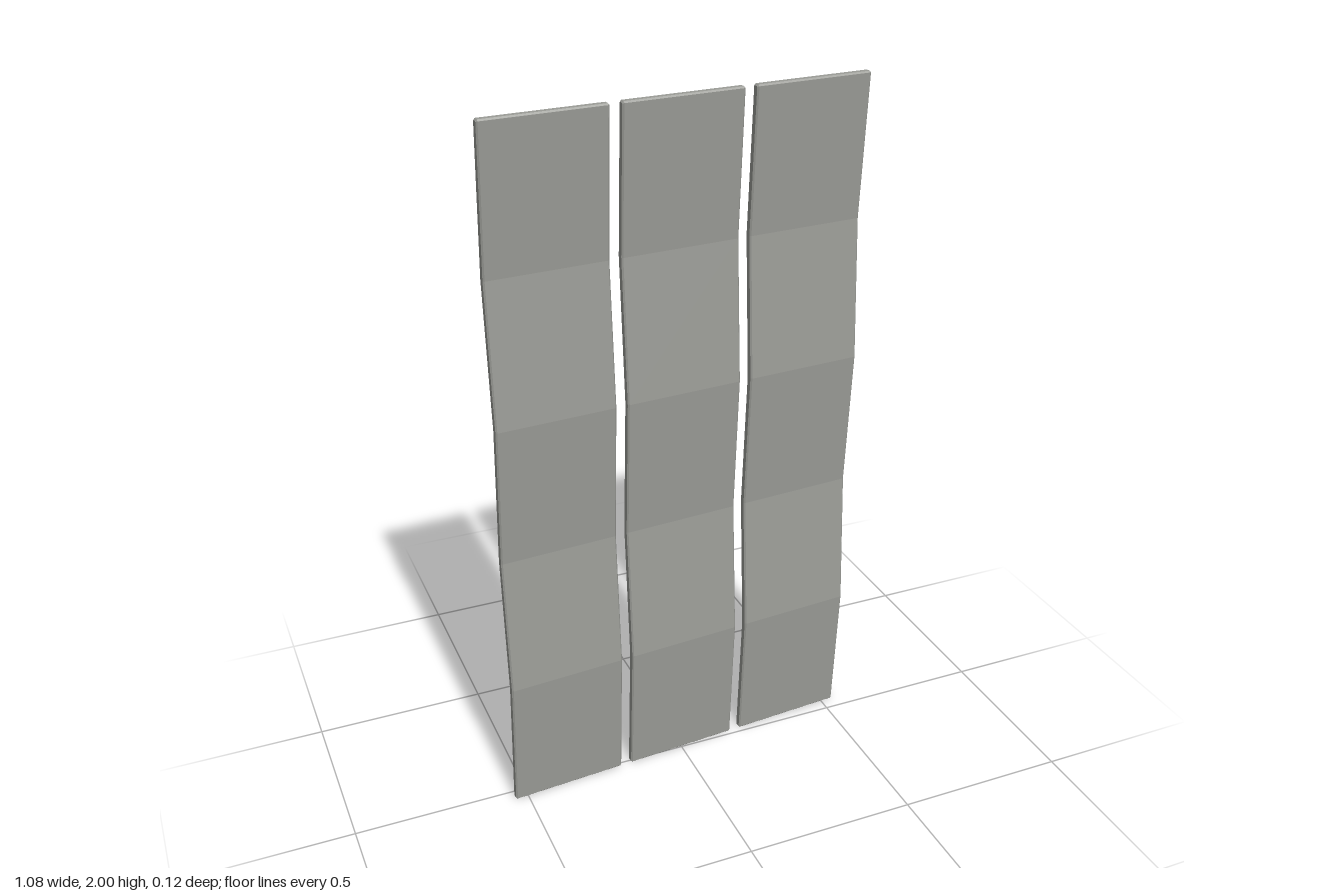
import * as THREE from 'three';

const HEIGHT = 2, FOLDS = 5, THICK = 0.023, SWAY = 0.0115, BEVEL = 0.004;
const WIDTH = 0.337, PITCH = 0.37, TURN = 0.073;

// Side profile of one folded panel: x is depth, y is height
function foldedProfile() {
  const front = [], back = [];
  for (let i = 0; i <= FOLDS; i++) {
    const y = (i / FOLDS) * HEIGHT;
    const z = i % 2 ? SWAY : -SWAY;
    const end = i === 0 ? 1 : i === FOLDS ? -1 : 0;
    // chamfered corners at the top and bottom ends
    if (end === 1) front.push([z + THICK / 2 - BEVEL, y]);
    front.push([z + THICK / 2, y + end * BEVEL]);
    if (end === -1) front.push([z + THICK / 2 - BEVEL, y]);
    if (end === 1) back.push([z - THICK / 2 + BEVEL, y]);
    back.push([z - THICK / 2, y + end * BEVEL]);
    if (end === -1) back.push([z - THICK / 2 + BEVEL, y]);
  }
  return new THREE.Shape([...front, ...back.reverse()].map(([z, y]) => new THREE.Vector2(z, y)));
}

export function createModel() {
  const model = new THREE.Group();
  model.name = 'foldedPanels';
  const grey = new THREE.MeshStandardMaterial({ color: 0x9c9d98 });
  grey.name = 'warm grey';

  // Profile swept across the panel width
  const geometry = new THREE.ExtrudeGeometry(foldedProfile(), {
    depth: WIDTH - 2 * BEVEL,
    bevelEnabled: true,
    bevelThickness: BEVEL,
    bevelSize: BEVEL,
    bevelOffset: -BEVEL,
    bevelSegments: 1,
  });
  geometry.translate(0, 0, -(WIDTH / 2 - BEVEL));
  geometry.rotateY(-Math.PI / 2);

  // Three panels side by side, the row turned slightly
  ['rightPanel', 'middlePanel', 'leftPanel'].forEach((name, i) => {
    const panel = new THREE.Mesh(geometry, grey);
    panel.name = name;
    panel.position.x = (i - 1) * PITCH;
    model.add(panel);
  });
  model.rotation.y = TURN;
  return model;
}
